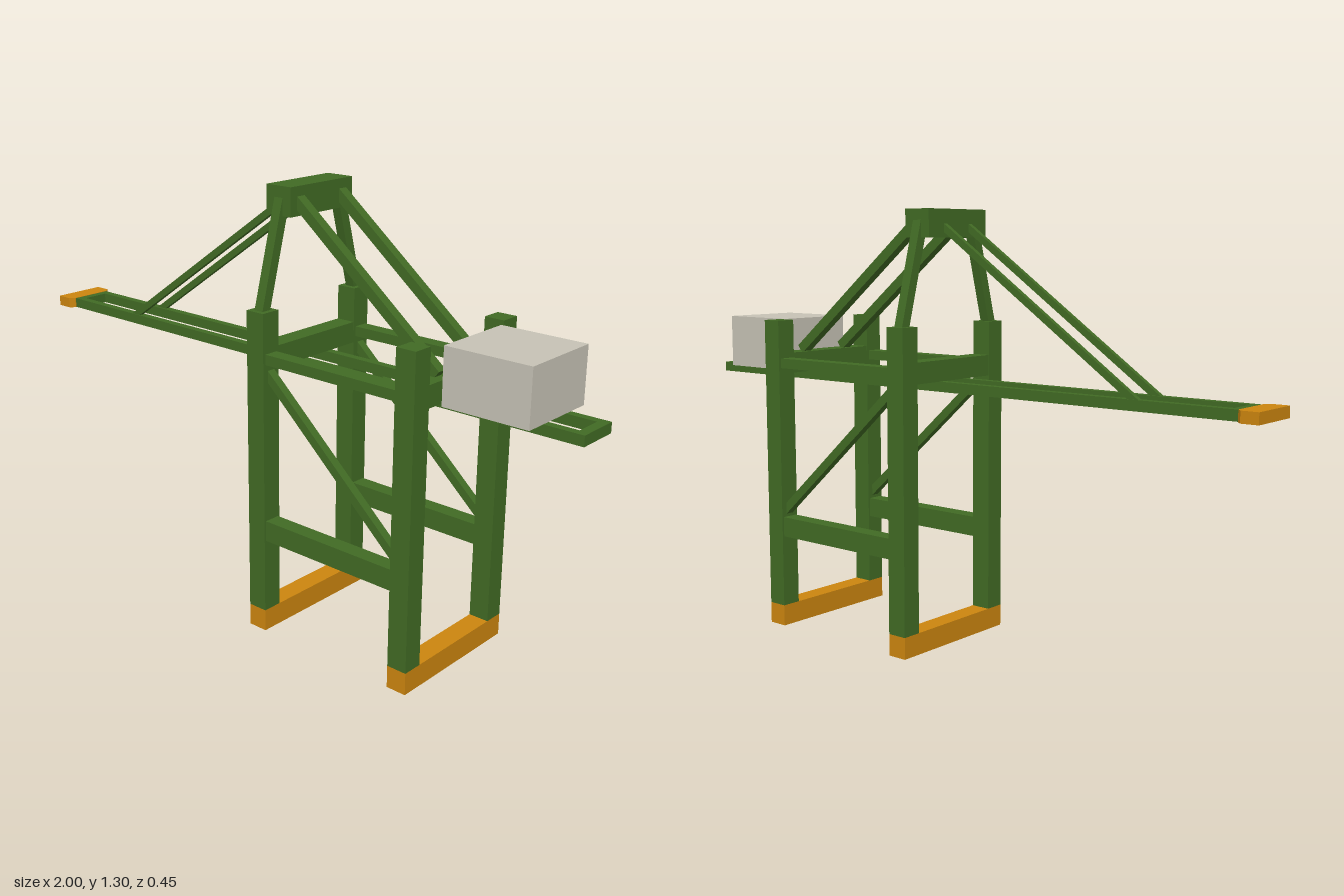
import * as THREE from 'three';

export function createModel() {
  const crane = new THREE.Group();
  crane.name = 'harbourCrane';

  const paint = (name, color) => {
    const m = new THREE.MeshStandardMaterial({ color });
    m.name = name;
    return m;
  };
  const green = paint('green', 0x416a24);
  const orange = paint('orange', 0xcb850f);
  const grey = paint('warmGrey', 0xc6c2b5);

  // box given by its limits on each axis
  function block(name, mat, [x0, x1], [y0, y1], [z0, z1]) {
    const mesh = new THREE.Mesh(new THREE.BoxGeometry(x1 - x0, y1 - y0, z1 - z0), mat);
    mesh.position.set((x0 + x1) / 2, (y0 + y1) / 2, (z0 + z1) / 2);
    mesh.name = name;
    crane.add(mesh);
  }

  // square bar from a to b; w is its side-on thickness, d its depth
  function bar(name, a, b, w, d) {
    const from = new THREE.Vector3(...a), to = new THREE.Vector3(...b);
    const dir = to.clone().sub(from);
    const mesh = new THREE.Mesh(new THREE.BoxGeometry(w, dir.length(), d), green);
    mesh.quaternion.setFromUnitVectors(new THREE.Vector3(0, 1, 0), dir.normalize());
    mesh.position.copy(from).add(to).multiplyScalar(0.5);
    mesh.name = name;
    crane.add(mesh);
  }

  const span = (c, w) => [c - w / 2, c + w / 2];
  const legX = [0.06, 0.58], legZ = 0.194, boomY = [0.775, 0.805];

  // portal frames: sill, legs and upper cross beam
  for (const x of legX) {
    block('sill', orange, span(x, 0.062), [0, 0.066], span(0, 0.45));
    block('crossBeam', green, span(x, 0.06), [0.805, 0.868], span(0, 0.33));
    for (const s of [-1, 1]) block('leg', green, span(x, 0.062), [0.066, 0.97], span(s * legZ, 0.062));
  }

  // parts mirrored on both sides
  for (const s of [-1, 1]) {
    const z = s * legZ;
    block('lowerSideBeam', green, [0.09, 0.55], [0.29, 0.352], span(z, 0.05));
    block('upperSideBeam', green, [0.09, 0.55], [0.823, 0.853], span(z, 0.045));
    bar('sideBrace', [0.07, 0.805, z], [0.57, 0.36, z], 0.026, 0.026);
    bar('mastPost', [0.06, 0.96, s * 0.197], [0.06, 1.27, s * 0.113], 0.03, 0.03);
    bar('backStay', [0.09, 1.269, s * 0.087], [0.585, 0.873, s * 0.087], 0.03, 0.03);
    bar('foreStay', [0.03, 1.26, s * 0.055], [-0.645, 0.795, s * 0.055], 0.02, 0.015);
    block('boomRail', green, [-0.94, 1], boomY, span(s * 0.053, 0.024));
  }
  block('boomEndBar', green, [0.972, 1], boomY, span(0, 0.084));
  block('boomTipBar', green, [-0.94, -0.912], boomY, span(0, 0.084));

  // boom nose plate with clipped inner corners
  const nose = new THREE.Shape([
    [-1, -0.083], [-0.95, -0.083], [-0.936, -0.067], [-0.936, 0.067], [-0.95, 0.083], [-1, 0.083],
  ].map(([x, y]) => new THREE.Vector2(x, y)));
  const tip = new THREE.Mesh(new THREE.ExtrudeGeometry(nose, { depth: 0.032, bevelEnabled: false }), orange);
  tip.rotation.x = -Math.PI / 2;
  tip.position.y = 0.774;
  tip.name = 'boomNose';
  crane.add(tip);

  // mast head and machinery house
  block('mastHead', green, span(0.06, 0.09), [1.222, 1.304], span(0, 0.256));
  block('machineryHouse', grey, [0.625, 0.885], [0.805, 0.968], span(0, 0.256));

  return crane;
}
